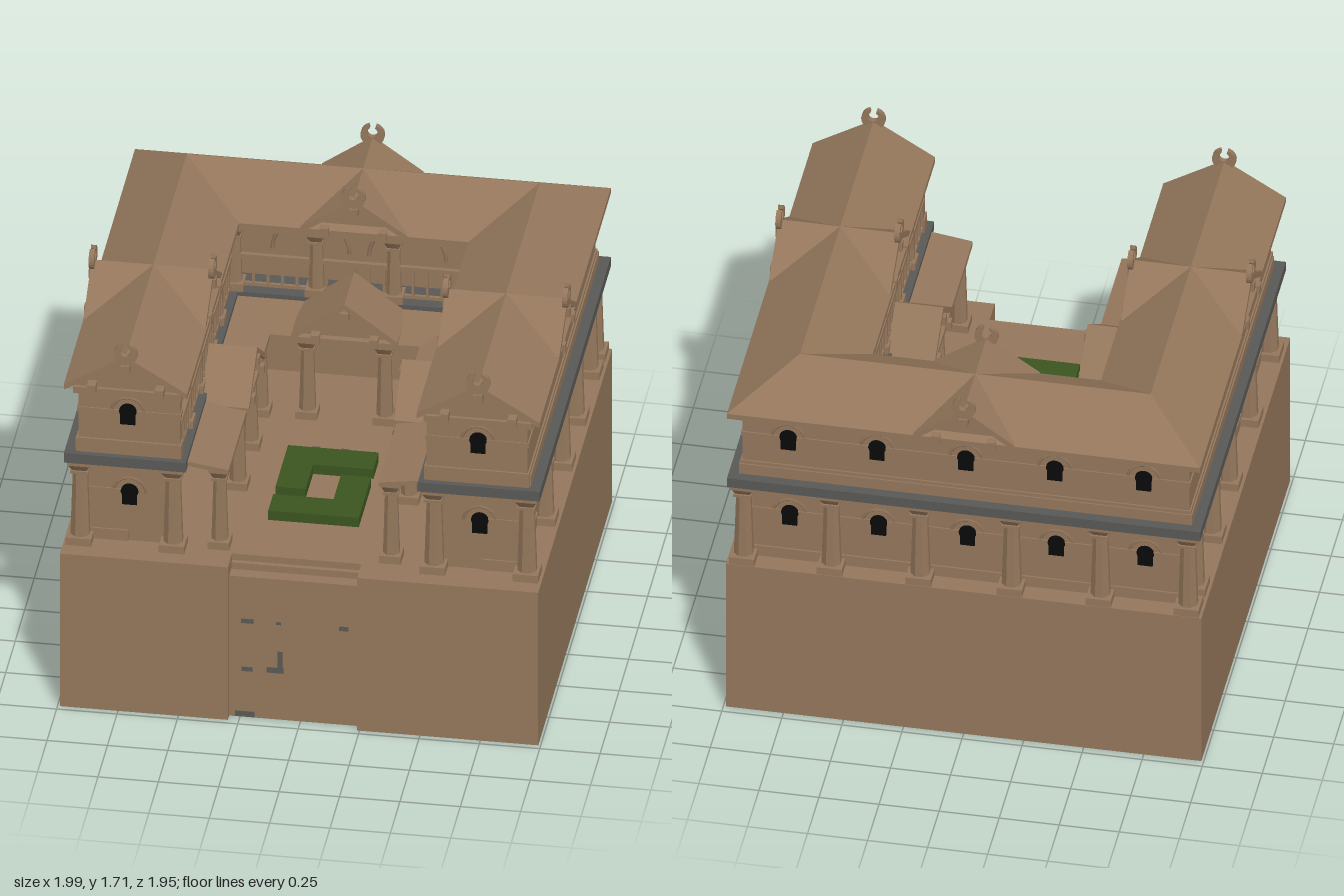
import * as THREE from 'three';

const mat = (name, color, side = THREE.FrontSide) => {
  const m = new THREE.MeshStandardMaterial({ color, side });
  m.name = name;
  return m;
};

export function createModel() {
  const root = new THREE.Group();
  root.name = 'courtyardVilla';
  const stone = mat('brownStone', 0x93765b, THREE.DoubleSide);
  const slate = mat('slateGrey', 0x585856);
  const green = mat('hedgeGreen', 0x3b5520);
  const black = mat('windowBlack', 0x090909);

  const add = (name, geo, m, x = 0, y = 0, z = 0, ry = 0, parent = root) => {
    const mesh = new THREE.Mesh(geo, m);
    mesh.name = name;
    mesh.position.set(x, y, z);
    mesh.rotation.y = ry;
    parent.add(mesh);
    return mesh;
  };
  // box given by its limits on each axis
  const box = (name, m, x0, x1, y0, y1, z0, z1, parent = root) =>
    add(name, new THREE.BoxGeometry(x1 - x0, y1 - y0, z1 - z0), m,
      (x0 + x1) / 2, (y0 + y1) / 2, (z0 + z1) / 2, 0, parent);
  const extrude = (shape, depth) =>
    new THREE.ExtrudeGeometry(shape, { depth, bevelEnabled: false, curveSegments: 10 });
  const poly = pts => new THREE.Shape(pts.map(p => new THREE.Vector2(...p)));

  // closed profile [offset, height, offset at the back] swept round the mitred U plan
  const sweepU = (name, m, profile, zEnd) => {
    const paths = profile.map(([d, y, back = d]) => {
      const x = 0.73 + d, z = -(0.71 + back);
      return [[-x, y, zEnd], [-x, y, z], [x, y, z], [x, y, zEnd]];
    });
    const pos = [];
    const tri = (a, b, c) => pos.push(...a, ...b, ...c);
    paths.forEach((p, i) => {
      const q = paths[(i + 1) % paths.length];
      for (let k = 0; k < 3; k++) {
        tri(p[k], q[k], q[k + 1]);
        tri(p[k], q[k + 1], p[k + 1]);
      }
    });
    const flat = profile.map(p => new THREE.Vector2(p[0], p[1]));
    for (const [a, b, c] of THREE.ShapeUtils.triangulateShape(flat, [])) {
      tri(paths[c][0], paths[b][0], paths[a][0]);
      tri(paths[a][3], paths[b][3], paths[c][3]);
    }
    const geo = new THREE.BufferGeometry();
    geo.setAttribute('position', new THREE.Float32BufferAttribute(pos, 3));
    geo.computeVertexNormals();
    return add(name, geo, m);
  };
  const bandU = (name, m, d0, d1, y0, y1, zEnd) =>
    sweepU(name, m, [[d0, y0], [d1, y0], [d1, y1], [d0, y1]], zEnd);

  // hollow podium, open underneath, with a stepped recess in front
  box('podiumBack', stone, -0.99, 0.99, 0, 0.72, -0.965, -0.955);
  for (const s of [-1, 1]) box('podiumSide', stone, s * 0.985 - 0.005, s * 0.985 + 0.005, 0, 0.72, -0.955, 0.965);
  box('podiumFront', stone, -0.99, -0.295, 0, 0.72, 0.965, 0.975);
  box('podiumFront', stone, 0.24, 0.99, 0, 0.72, 0.965, 0.975);
  box('recessSide', stone, -0.305, -0.295, 0, 0.72, 0.864, 0.965);
  box('recessSide', stone, 0.24, 0.25, 0, 0.72, 0.864, 0.965);
  box('gate', stone, -0.295, 0.24, 0, 0.67, 0.864, 0.94);
  box('gateStep', stone, -0.295, 0.24, 0.67, 0.7, 0.864, 0.885);
  box('gateRiser', stone, -0.305, 0.25, 0.67, 0.72, 0.854, 0.864);
  box('courtFloor', stone, -0.99, 0.99, 0.72, 0.73, -0.965, 0.864);
  box('frontFloor', stone, -0.99, -0.295, 0.72, 0.73, 0.864, 0.975);
  box('frontFloor', stone, 0.24, 0.99, 0.72, 0.73, 0.864, 0.975);
  // worn grey patches on the gate and the court floor
  for (const [x, y, w, h] of [[-0.22, 0.46, 0.05, 0.02], [-0.09, 0.46, 0.02, 0.012], [0.18, 0.46, 0.04, 0.02],
    [-0.22, 0.23, 0.045, 0.02], [-0.085, 0.285, 0.02, 0.08], [-0.105, 0.235, 0.07, 0.025], [-0.23, 0.015, 0.08, 0.025]])
    box('gatePatch', slate, x - w / 2, x + w / 2, y - h / 2, y + h / 2, 0.94, 0.943);
  for (const x of [-0.085, 0.035]) box('floorPatch', slate, x - 0.015, x + 0.015, 0.73, 0.733, -0.015, 0.058);

  // interlocking L-shaped hedges, rooted below the floor
  const hedgeA = [[-0.19, 0.06], [0.185, 0.06], [0.185, 0.195], [-0.065, 0.195], [-0.065, 0.39], [-0.19, 0.39]];
  const hedgeB = [[0.06, 0.255], [0.185, 0.255], [0.185, 0.58], [-0.19, 0.58], [-0.19, 0.45], [0.06, 0.45]];
  for (const h of [hedgeA, hedgeB])
    add('hedge', extrude(poly(h), 0.18), green, 0, 0.775, 0).rotation.x = Math.PI / 2;

  // water jar
  const jar = [[0, 0], [0.04, 0], [0.03, 0.012], [0.054, 0.03], [0.032, 0.048], [0.044, 0.06], [0.036, 0.06]];
  add('jar', new THREE.LatheGeometry(jar.map(p => new THREE.Vector2(...p)), 10), stone, 0.265, 0.73, -0.13);
  add('jarMouth', new THREE.CylinderGeometry(0.037, 0.037, 0.004, 10), black, 0.265, 0.789, -0.13);

  // walls, mouldings and the grey floor band
  bandU('lowerWall', stone, -0.12, 0.165, 0.73, 1.125, 0.825);
  bandU('lowerPlinth', stone, 0, 0.173, 0.73, 0.78, 0.833);
  bandU('lowerCourse', stone, 0, 0.171, 0.955, 0.975, 0.831);
  bandU('architrave', stone, -0.23, 0.235, 1.105, 1.125, 0.89);
  bandU('floorBand', slate, -0.25, 0.255, 1.125, 1.17, 0.905);
  bandU('upperWall', stone, -0.1, 0.2, 1.17, 1.475, 0.87);
  for (const [d, y] of [[0.213, 1.22], [0.207, 1.235]]) bandU('upperPlinth', stone, 0.1, d, 1.17, y, 0.87);
  bandU('upperCourse', stone, 0.1, 0.206, 1.36, 1.38, 0.876);
  bandU('frieze', stone, -0.23, 0.22, 1.45, 1.48, 0.885);
  for (const s of [-1, 1]) {
    const front = (name, a, b, y0, y1, z0, z1) =>
      box(name, stone, Math.min(s * a, s * b), Math.max(s * a, s * b), y0, y1, z0, z1);
    front('lowerWingFront', 0.54, 0.7, 0.73, 1.125, 0.775, 0.825);
    front('wingFront', 0.51, 0.93, 1.17, 1.475, 0.82, 0.87);
    front('wingPlinth', 0.503, 0.937, 1.17, 1.235, 0.82, 0.88);
    front('wingCourse', 0.505, 0.936, 1.36, 1.38, 0.82, 0.876);
  }

  // main roof over the three wings, and the lean-to roof round the court
  sweepU('mainRoof', stone, [[-0.255, 1.475], [0, 1.625], [0.255, 1.475], [0.255, 1.5], [0, 1.655], [-0.255, 1.5]], 0.905);
  sweepU('roofFill', stone, [[-0.225, 1.47], [0.225, 1.47], [0, 1.625]], 0.87);
  sweepU('verandaRoof', stone, [[-0.42, 1.105, -0.49], [-0.25, 1.13], [-0.25, 1.15], [-0.42, 1.125, -0.49]], 0.86);

  // horseshoe finial
  const horns = new THREE.Shape();
  horns.absarc(0, 0, 0.05, Math.PI * 0.6, Math.PI * 2.4, false);
  horns.absarc(0, 0.014, 0.022, Math.PI * 2.33, Math.PI * 0.67, true);
  const hornGeo = extrude(horns, 0.022);

  // finial and beam ends on a gable whose face is at local z = 0
  const trim = (g, w, eave, ridge, finial) => {
    for (const [x, y] of [[0, ridge - 0.06], [-0.55 * w, eave + 0.015], [0.55 * w, eave + 0.015]])
      box('beamEnd', stone, x - 0.018, x + 0.018, y - 0.02, y + 0.02, -0.04, 0.011, g);
    if (finial) add('finial', hornGeo, stone, 0, ridge + 0.012, -0.016, 0, g);
  };
  const gable = (name, x, z, ry, w, eave, ridge, len, finial, roof = true) => {
    const g = new THREE.Group();
    g.name = name;
    g.position.set(x, 0, z);
    g.rotation.y = ry;
    root.add(g);
    if (roof) {
      const t = 0.028;
      const chevron = poly([[-w, eave], [0, ridge - t], [w, eave], [w, eave + t], [0, ridge], [-w, eave + t]]);
      add('gableRoof', extrude(chevron, len), stone, 0, 0, -len, 0, g);
      add('pediment', extrude(poly([[-w * 0.93, eave], [w * 0.93, eave], [0, ridge - t]]), len - 0.03),
        stone, 0, 0, -len, 0, g);
    }
    trim(g, w, eave, ridge, finial);
    return g;
  };
  const Q = Math.PI / 2;
  for (const s of [-1, 1]) {
    gable('wingGable', s * 0.73, 0.905, 0, 0.255, 1.475, 1.655, 0, true, false);
    gable('outerSideGable', s * 0.985, 0.17, s * Q, 0.22, 1.478, 1.655, 0.255, true);
    gable('innerSideGable', s * 0.48, 0.17, -s * Q, 0.22, 1.478, 1.655, 0.25, true);
  }
  gable('backGable', 0, -0.965, Math.PI, 0.21, 1.478, 1.655, 0.255, true);
  gable('innerBackGable', 0, -0.455, 0, 0.22, 1.478, 1.655, 0.255, true);

  // column with plinth, tapered shaft and stepped capital
  const column = (x, z, y0, y1, w = 0.105) => {
    const g = new THREE.Group();
    g.name = 'column';
    g.position.set(x, y0, z);
    root.add(g);
    const h = y1 - y0;
    const block = (k, a, b) => box('columnBlock', stone, -w * k, w * k, a, b, -w * k, w * k, g);
    block(0.5, 0, 0.035);
    add('shaft', new THREE.CylinderGeometry(w * 0.3, w * 0.4, h - 0.075, 8).toNonIndexed(), stone, 0, h / 2 - 0.002, 0, Math.PI / 8, g)
      .geometry.computeVertexNormals();
    add('capital', new THREE.CylinderGeometry(w * 0.6, w * 0.4, 0.03, 4), stone, 0, h - 0.033, 0, Math.PI / 4, g);
    block(0.36, h - 0.06, h - 0.048);
    block(0.46, h - 0.018, h);
  };
  for (const s of [-1, 1]) {
    for (const z of [0.85, 0.4, -0.04, -0.4, -0.765, -0.91]) column(s * 0.925, z, 0.73, 1.125);
    for (const x of [0.56, 0.19]) column(s * x, -0.91, 0.73, 1.125);
    column(s * 0.54, 0.85, 0.73, 1.125);
    // veranda columns round the court
    for (const z of [0.8, 0.33, 0.01, -0.255]) column(s * 0.355, z, 0.73, 1.11, 0.09);
    column(s * 0.16, -0.265, 0.73, 1.11, 0.09);
    // open gallery above the court
    for (const z of [0.6, 0.32, 0.02, -0.22]) column(s * 0.53, z, 1.17, 1.475, 0.075);
    for (const x of [0.5, 0.16]) column(s * x, -0.5, 1.17, 1.475, 0.085);
  }

  // gabled porches on three sides of the court
  gable('backPorch', 0, -0.215, 0, 0.22, 1.11, 1.3, 0.26, false);
  for (const s of [-1, 1]) gable('sidePorch', s * 0.3, 0.17, -s * Q, 0.22, 1.11, 1.3, 0.2, false);

  // gallery railing
  bandU('handrail', stone, -0.225, -0.205, 1.315, 1.335, 0.84);
  bandU('footRail', stone, -0.222, -0.208, 1.185, 1.2, 0.84);
  const baluster = new THREE.BoxGeometry(0.012, 0.14, 0.012);
  for (const s of [-1, 1])
    for (let z = -0.44; z < 0.8; z += 0.06) add('baluster', baluster, stone, s * 0.515, 1.255, z);
  for (let i = -8; i <= 8; i++) add('baluster', baluster, stone, i * 0.06, 1.255, -0.495);

  // arched windows with hood mouldings
  const arch = new THREE.Shape();
  arch.moveTo(-0.031, 0).lineTo(0.031, 0).lineTo(0.031, 0.045).lineTo(0.036, 0.055);
  arch.absarc(0, 0.06, 0.036, 0, Math.PI, false);
  arch.lineTo(-0.031, 0.045);
  const archGeo = extrude(arch, 0.009);
  const hoodGeo = new THREE.TorusGeometry(0.068, 0.006, 4, 12, Math.PI);
  const windowAt = (x, y, z, ry) => {
    add('window', archGeo, black, x, y, z, ry);
    add('windowHood', hoodGeo, stone, x, y + 0.055, z, ry);
  };
  for (const [y, side, back, front] of [[0.905, 0.895, -0.875, 0.825], [1.315, 0.93, -0.91, 0.87]]) {
    for (const s of [-1, 1]) {
      windowAt(s * 0.725, y, front, 0);
      for (const z of [0.54, 0.17, -0.18, -0.55]) windowAt(s * side, y, z, s * Q);
    }
    for (let i = -2; i <= 2; i++) windowAt(i * 0.37, y, back, Math.PI);
  }

  // wide blind arches on the rear wall of the court
  const wideArch = new THREE.TorusGeometry(0.16, 0.008, 4, 20, Math.PI);
  for (const x of [-0.2, 0.2]) {
    add('blindArch', wideArch, stone, x, 1.3, -0.61);
    add('blindArch', wideArch, stone, x, 0.9, -0.59);
  }
  return root;
}
